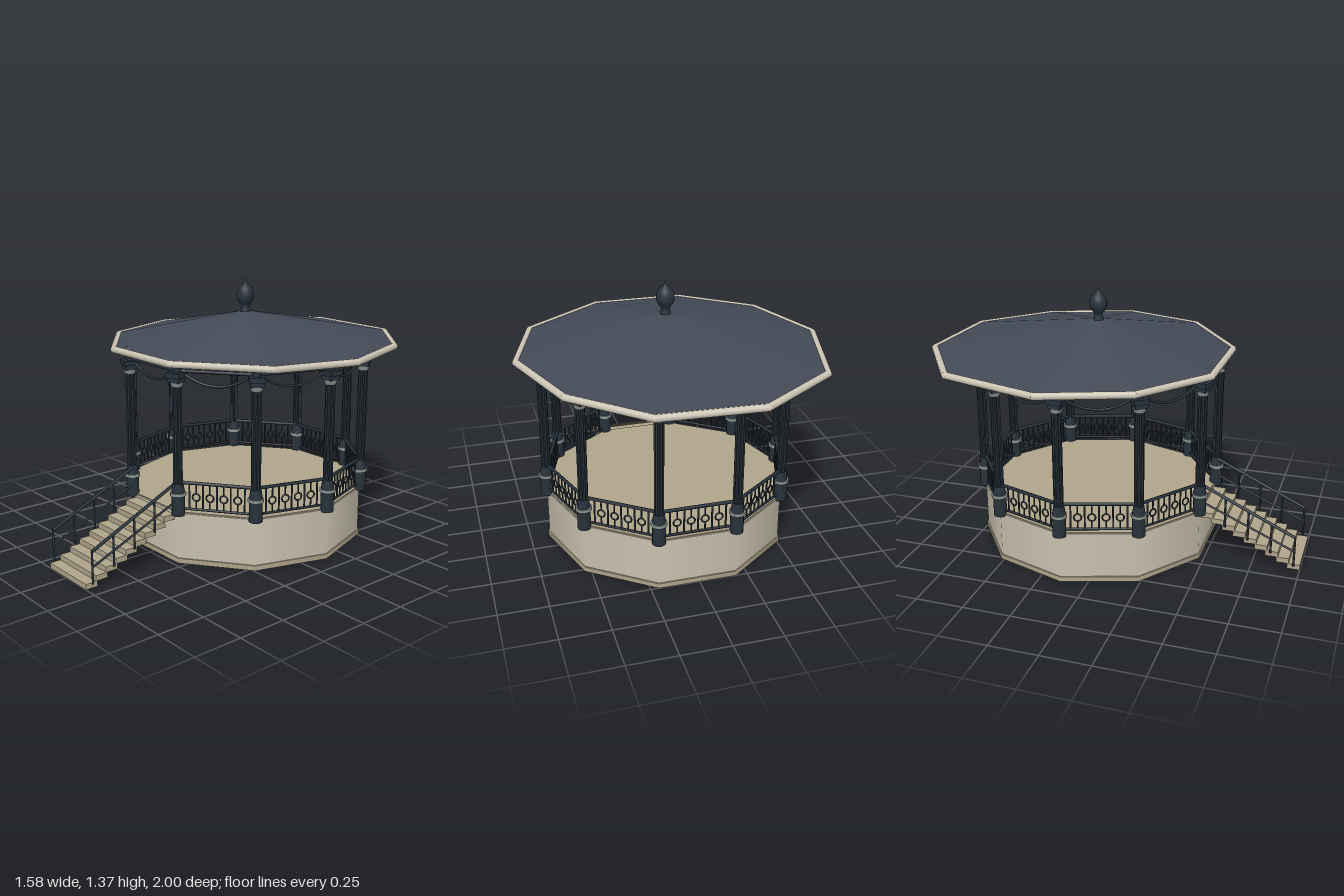
import * as THREE from 'three';

const mat = (color, extra = {}) => new THREE.MeshStandardMaterial({ color, ...extra });
const iron = mat(0x27323a);
const ironFlat = mat(0x27323a, { flatShading: true });
const silver = mat(0x8f9894);
const stone = mat(0xc9c1b0);
const tan = mat(0xafa38a);
const trim = mat(0xcdc6b6);
const slate = mat(0x434a56, { flatShading: true });
const soffit = mat(0x85847c, { flatShading: true, side: THREE.DoubleSide });

const V = (x, y, z) => new THREE.Vector3(x, y, z);
const CX = 0.01, CZ = -0.137, SIDES = 10, STEP = Math.PI / 5;

// point at a given angle from the front, around the pavilion's axis
const around = (a, r, y) => V(CX + r * Math.sin(a), y, CZ + r * Math.cos(a));

function add(parent, name, geo, material, pos) {
  const m = new THREE.Mesh(geo, material);
  m.name = name;
  if (pos) m.position.copy(pos);
  parent.add(m);
  return m;
}

// round bar between two points
function bar(parent, name, a, b, r, material = iron, seg = 6) {
  const d = b.clone().sub(a);
  const m = add(parent, name, new THREE.CylinderGeometry(r, r, d.length(), seg), material, a.clone().lerp(b, 0.5));
  m.quaternion.setFromUnitVectors(V(0, 1, 0), d.normalize());
  return m;
}

function group(parent, name) {
  const g = new THREE.Group();
  g.name = name;
  parent.add(g);
  return g;
}

// ten-sided slab
function slab(parent, name, r, y0, y1, material) {
  const m = add(parent, name, new THREE.CylinderGeometry(r, r, y1 - y0, SIDES), material, V(CX, (y0 + y1) / 2, CZ));
  m.rotation.y = STEP / 2;
}

// shaft with alternating ridges and grooves
function flutedShaft() {
  const g = new THREE.CylinderGeometry(0.025, 0.025, 0.56, 20);
  const p = g.attributes.position;
  for (let i = 0; i < p.count; i++) {
    const k = Math.round(Math.atan2(p.getX(i), p.getZ(i)) / (Math.PI / 10));
    const s = k % 2 ? 0.8 : 1;
    p.setXYZ(i, p.getX(i) * s, p.getY(i), p.getZ(i) * s);
  }
  return g;
}

function buildColumn(parent, a, shaft) {
  const c = group(parent, 'column');
  c.position.copy(around(a, 0.637, 0));
  c.rotation.y = a;
  const drum = (name, r0, r1, y0, y1, m) =>
    add(c, name, new THREE.CylinderGeometry(r1, r0, y1 - y0, 12), m, V(0, (y0 + y1) / 2, 0));
  drum('pedestal', 0.034, 0.034, 0.258, 0.362, iron);
  drum('pedestalRing', 0.041, 0.041, 0.362, 0.378, silver);
  drum('shaftFoot', 0.034, 0.027, 0.378, 0.425, iron);
  add(c, 'shaft', shaft, ironFlat, V(0, 0.67, 0));
  drum('capitalRing', 0.027, 0.034, 0.915, 0.938, silver);
  add(c, 'capital', new THREE.BoxGeometry(0.064, 0.025, 0.064), iron, V(0, 0.95, 0));
  add(c, 'capitalTop', new THREE.BoxGeometry(0.078, 0.025, 0.078), iron, V(0, 0.973, 0));
  drum('roofPost', 0.02, 0.02, 0.98, 1.055, iron);
}

function buildBay(parent, a0, withRailing) {
  const bay = group(parent, 'bay');
  const at = (t, y, r = 0.632) => around(a0, r, y).lerp(around(a0 + STEP, r, y), t);
  const ring = (name, t, y, r, tube) => {
    const m = add(bay, name, new THREE.TorusGeometry(r, tube, 6, 16), iron, at(t, y));
    m.rotation.y = a0 + STEP / 2;
  };
  // frieze and hanging garland
  bar(bay, 'friezeBeam', at(0, 0.992), at(1, 0.992), 0.009);
  bar(bay, 'friezeTopRail', at(0, 1.03), at(1, 1.03), 0.006);
  for (let i = 0; i < 6; i++) ring('friezeRing', (i + 0.5) / 6, 1.01, 0.015, 0.004);
  const curve = new THREE.QuadraticBezierCurve3(at(0.06, 0.985), at(0.5, 0.86), at(0.94, 0.985));
  add(bay, 'garland', new THREE.TubeGeometry(curve, 16, 0.007, 6), iron);
  if (!withRailing) return;
  // balustrade: bars alternating with ringed bars
  bar(bay, 'topRail', at(0, 0.428), at(1, 0.428), 0.009);
  bar(bay, 'bottomRail', at(0, 0.292), at(1, 0.292), 0.007);
  for (let i = 0; i < 9; i++) {
    const t = 0.14 + i * 0.09;
    if (i % 2) {
      ring('balusterRing', t, 0.355, 0.019, 0.0045);
      bar(bay, 'upperStub', at(t, 0.374), at(t, 0.428), 0.004);
      bar(bay, 'lowerStub', at(t, 0.292), at(t, 0.336), 0.004);
    } else bar(bay, 'baluster', at(t, 0.292), at(t, 0.428), 0.005);
  }
}

function buildStairs(parent) {
  const s = group(parent, 'stairs');
  const n = 9, z0 = 1, run = 0.058, rise = 0.028;
  for (let i = 0; i < n; i++)
    add(s, 'step', new THREE.BoxGeometry(0.33, rise, run + 0.008), tan,
      V(CX, (i + 0.5) * rise, z0 - i * run - run / 2 - 0.004));
  for (const side of [-1, 1]) {
    const x = CX + side * 0.178;
    const top = t => V(x, 0.19 + 0.225 * t, 0.968 - 0.488 * t);
    bar(s, 'handrail', top(0), top(1), 0.009);
    bar(s, 'middleRail', top(0).setY(0.11), top(1).setY(0.32), 0.006);
    for (const t of [0, 0.25, 0.5, 0.75, 1])
      bar(s, 'railPost', top(t).setY(0.025 + 0.225 * t), top(t), 0.006);
  }
}

// fan of triangles from the peak to the rim
function fan(peak, rim, up) {
  const pts = [];
  rim.forEach((p, i) => {
    const q = rim[(i + 1) % rim.length];
    pts.push(peak, ...(up ? [q, p] : [p, q]));
  });
  const g = new THREE.BufferGeometry().setFromPoints(pts);
  g.computeVertexNormals();
  return g;
}

function buildRoof(parent) {
  const roof = group(parent, 'roof');
  // slightly uneven ten-cornered eaves, clockwise from the back
  const corners = [[-0.228, -0.995], [0.288, -0.968], [0.63, -0.651], [0.788, -0.19], [0.656, 0.243],
    [0.233, 0.545], [-0.254, 0.538], [-0.624, 0.254], [-0.788, -0.19], [-0.638, -0.722]];
  const rim = corners.map(([x, z]) => V(x * 0.98, 1.036, -0.22 + (z + 0.22) * 0.98));
  const peak = V(CX, 1.205, CZ - 0.006);
  const low = p => p.clone().setY(p.y - 0.012);
  add(roof, 'roofCover', fan(peak, rim.map(p => p.clone().setY(1.045)), true), slate);
  add(roof, 'roofUnderside', fan(low(peak), rim.map(low), false), soffit);
  rim.forEach((p, i) => {
    bar(roof, 'eavesTrim', p, rim[(i + 1) % rim.length], 0.018, trim, 12);
    add(roof, 'eavesCorner', new THREE.SphereGeometry(0.018, 12, 8), trim, p);
    bar(roof, 'rafter', low(p), low(peak), 0.008, tan);
  });
  // bulb finial
  const profile = [[0.027, 1.19], [0.027, 1.21], [0.021, 1.222], [0.024, 1.236], [0.038, 1.25], [0.046, 1.272],
    [0.046, 1.295], [0.038, 1.32], [0.022, 1.338], [0.009, 1.346], [0.006, 1.355], [0, 1.373]];
  add(roof, 'finial', new THREE.LatheGeometry(profile.map(p => new THREE.Vector2(...p)), 20), iron, V(peak.x, 0, peak.z));
}

export function createModel() {
  const model = new THREE.Group();
  model.name = 'bandstand';
  // stone platform
  const base = group(model, 'platform');
  slab(base, 'plinth', 0.645, 0, 0.026, tan);
  slab(base, 'wall', 0.638, 0.02, 0.266, stone);
  slab(base, 'floor', 0.632, 0.25, 0.272, tan);
  // columns and the bays between them; the front bay stays open for the stairs
  const shaft = flutedShaft();
  for (let i = 0; i < SIDES; i++) {
    const a = STEP * (i + 0.5);
    buildColumn(model, a, shaft);
    buildBay(model, a, i !== SIDES - 1);
  }
  buildStairs(model);
  buildRoof(model);
  return model;
}
